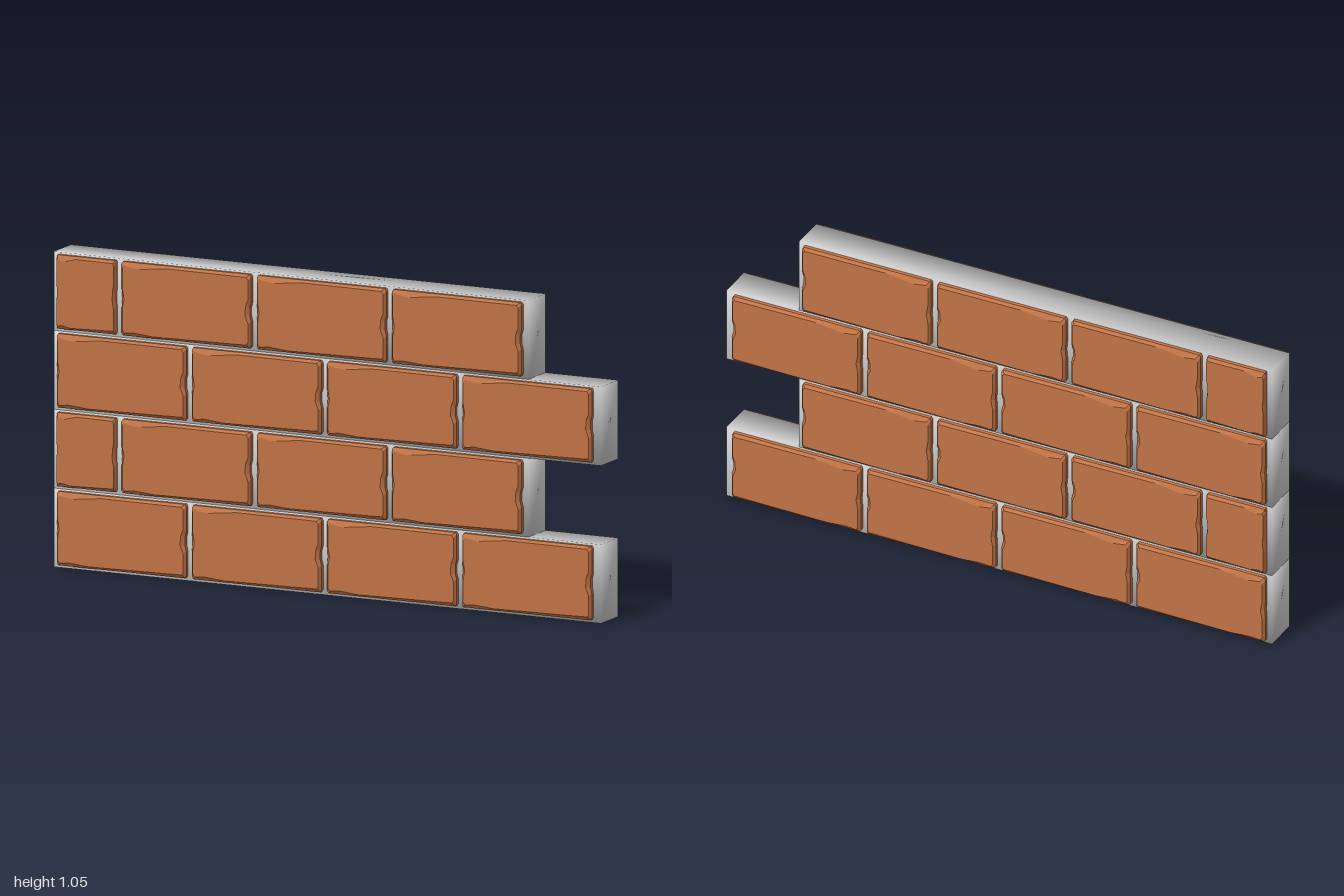
import * as THREE from 'three';
import { mergeVertices } from 'three/addons/utils/BufferGeometryUtils.js';

const ROW = 0.2625, HALF_DEPTH = 0.062, FACE = 0.085, RIM = 0.075;

// Brick outline as fractions of width and height: rim x, rim y, chipped face x, face y
const OUTLINE = [
  [0.01, 0, 0.03, 0.04], [0.1, 0, 0.1, 0.055], [0.25, 0, 0.25, 0.03], [0.85, 0, 0.85, 0.045], [0.99, 0, 0.975, 0.05],
  [1, 0.03, 0.985, 0.08], [1, 0.36, 0.985, 0.34], [0.99, 0.44, 0.962, 0.45], [0.99, 0.55, 0.967, 0.58],
  [1, 0.62, 0.985, 0.66], [1, 0.97, 0.985, 0.93],
  [0.99, 1, 0.97, 0.965], [0.35, 1, 0.35, 0.97], [0.1, 1, 0.13, 0.92], [0.01, 1, 0.03, 0.95],
  [0, 0.97, 0.015, 0.91], [0, 0.62, 0.015, 0.64], [0.005, 0.5, 0.028, 0.5], [0, 0.38, 0.015, 0.36], [0, 0.03, 0.015, 0.08],
];

// Brick running through the wall, chipped alike on both faces
function brickGeometry(w, h) {
  const ring = (k, z) => OUTLINE.map((p) => new THREE.Vector3(p[k] * w, p[k + 1] * h, z));
  const rings = [ring(2, -FACE), ring(0, -RIM), ring(0, RIM), ring(2, FACE)];
  const points = [];
  const n = OUTLINE.length;
  for (let r = 0; r < 3; r++) {
    for (let i = 0; i < n; i++) {
      const j = (i + 1) % n;
      const a = rings[r][i], b = rings[r][j], c = rings[r + 1][j], d = rings[r + 1][i];
      points.push(a, b, c, a, c, d);
    }
  }
  const flat = rings[3].map((p) => new THREE.Vector2(p.x, p.y));
  for (const [a, b, c] of THREE.ShapeUtils.triangulateShape(flat, [])) {
    points.push(rings[3][a], rings[3][b], rings[3][c]);
    points.push(rings[0][a], rings[0][c], rings[0][b]);
  }
  const g = new THREE.BufferGeometry().setFromPoints(points);
  g.computeVertexNormals();
  return g;
}

// Box with shared corners, so its shading is smooth
function mortarGeometry(w) {
  let g = new THREE.BoxGeometry(w, ROW, HALF_DEPTH * 2);
  g.deleteAttribute('normal');
  g.deleteAttribute('uv');
  g = mergeVertices(g);
  g.computeVertexNormals();
  return g;
}

export function createModel() {
  const wall = new THREE.Group();
  wall.name = 'brickWall';
  const mortarMat = new THREE.MeshStandardMaterial({ color: 0xcccccc });
  const brickMat = new THREE.MeshStandardMaterial({ color: 0xc27446, flatShading: true });
  const long = brickGeometry(0.473, 0.246);
  const short = brickGeometry(0.215, 0.246);

  for (let row = 0; row < 4; row++) {
    const staggered = row % 2 === 1;
    const course = new THREE.Group();
    course.name = 'course' + (row + 1);
    course.position.y = row * ROW;
    wall.add(course);

    // Mortar bed, shorter on staggered courses
    const width = staggered ? 1.735 : 2;
    const mortar = new THREE.Mesh(mortarGeometry(width), mortarMat);
    mortar.name = 'mortar';
    mortar.position.set(width / 2 - 1, ROW / 2, 0);
    course.add(mortar);

    // Bricks, with a half brick starting each staggered course
    for (let i = 0; i < 4; i++) {
      const half = staggered && i === 0;
      const brick = new THREE.Mesh(half ? short : long, brickMat);
      brick.name = half ? 'halfBrick' : 'brick';
      const x = staggered && !half ? -0.745 + (i - 1) * 0.494 : -0.982 + i * 0.494;
      brick.position.set(x, 0.01, 0);
      course.add(brick);
    }
  }
  return wall;
}
